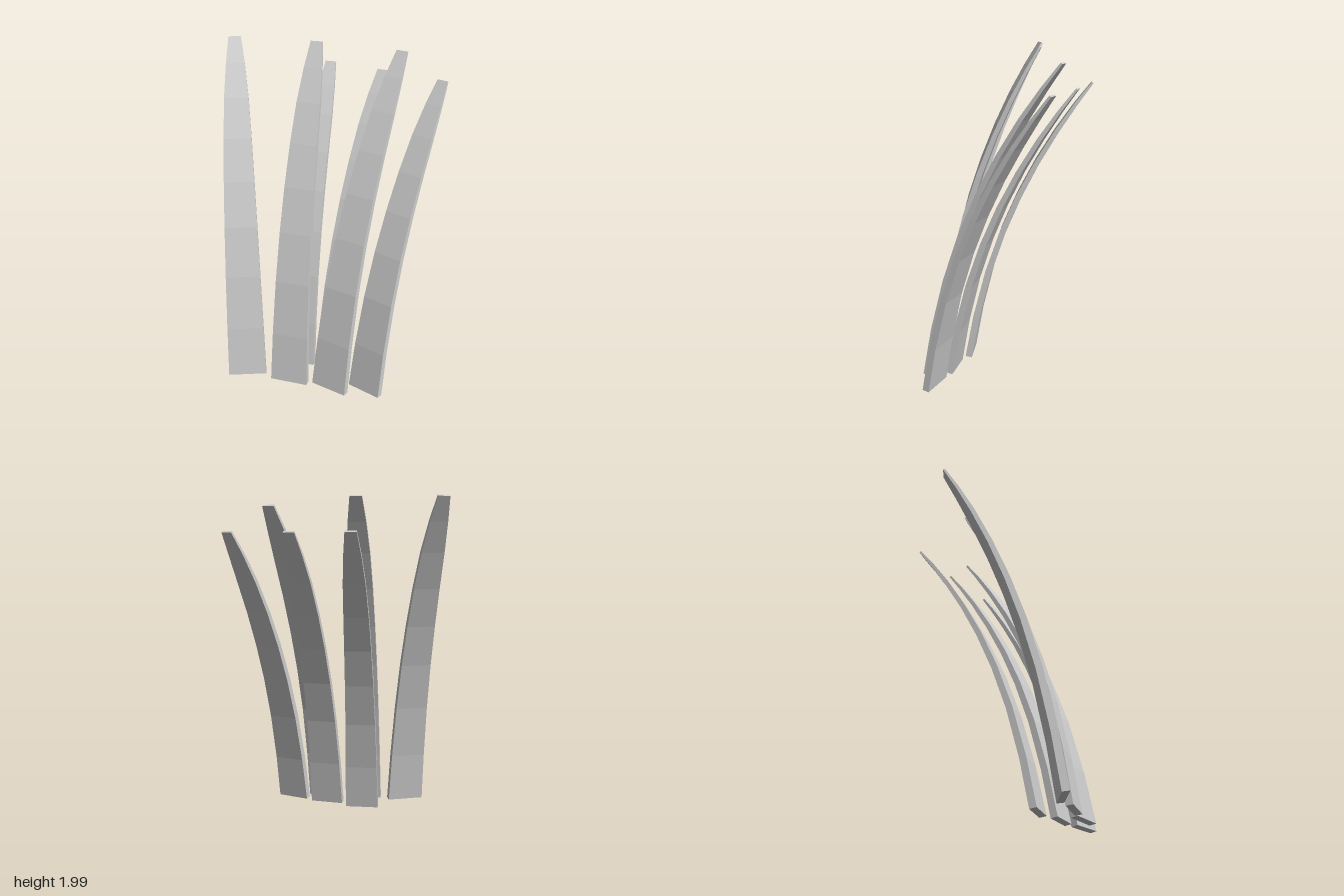
import * as THREE from 'three';

// Blade cross-sections: [fraction of height, share of base width, thickness]
const SECTIONS = [
  [0, 1, 0.042], [0.16, 0.95, 0.041], [0.33, 0.89, 0.039], [0.48, 0.83, 0.037],
  [0.61, 0.77, 0.034], [0.73, 0.7, 0.03], [0.84, 0.61, 0.026],
  [0.93, 0.47, 0.02], [1, 0.31, 0.013],
];

// Backward bend: nearly upright at the base, steeper towards the tip
const LEAN = 0.4, POWER = 2.4;
const bend = (t) => LEAN * t + (1 - LEAN) * t ** POWER;
const bendSlope = (t) => LEAN + (1 - LEAN) * POWER * t ** (POWER - 1);

// A curved, tapering plank that rises and bends back towards -z
function bladeGeometry(width, height, reach) {
  const pos = [];
  const rings = SECTIONS.map(([t, w, th]) => {
    const z = -reach * bend(t), slope = -reach * bendSlope(t);
    const len = Math.hypot(height, slope);
    // half-thickness offset, perpendicular to the centre line
    const ny = (-slope / len) * th / 2, nz = (height / len) * th / 2;
    const y = t * height, x = (w * width) / 2;
    return [
      [-x, y + ny, z + nz], [x, y + ny, z + nz],
      [x, y - ny, z - nz], [-x, y - ny, z - nz],
    ];
  });
  const quad = (a, b, c, d) => pos.push(...a, ...b, ...c, ...a, ...c, ...d);
  for (let i = 0; i < rings.length - 1; i++) {
    const lo = rings[i], hi = rings[i + 1];
    for (let k = 0; k < 4; k++) {
      const n = (k + 1) % 4;
      quad(lo[k], lo[n], hi[n], hi[k]);
    }
  }
  // end caps
  const b = rings[0], e = rings[rings.length - 1];
  quad(b[3], b[2], b[1], b[0]);
  quad(e[0], e[1], e[2], e[3]);
  const geo = new THREE.BufferGeometry();
  geo.setAttribute('position', new THREE.Float32BufferAttribute(pos, 3));
  geo.computeVertexNormals();
  return geo;
}

// Base centre x, z, turn in degrees (positive fans to -x), and blade size
const BLADES = [
  { name: 'frontBladeRight', x: -0.405, z: 0.445, turn: 18.5, w: 0.235, h: 1.985, reach: 0.65 },
  { name: 'frontBladeMiddle', x: -0.126, z: 0.446, turn: -1.2, w: 0.232, h: 1.985, reach: 0.638 },
  { name: 'frontBladeLeft', x: 0.135, z: 0.45, turn: -16.4, w: 0.23, h: 1.925, reach: 0.815 },
  { name: 'rearBladeRight', x: -0.126, z: 0.25, turn: -1.2, w: 0.212, h: 1.778, reach: 0.753 },
  { name: 'rearBladeMiddle', x: 0.112, z: 0.326, turn: -9.7, w: 0.212, h: 1.778, reach: 0.75 },
  { name: 'rearBladeLeft', x: 0.35, z: 0.412, turn: -21, w: 0.212, h: 1.782, reach: 0.745 },
];

export function createModel() {
  const group = new THREE.Group();
  group.name = 'bladeFan';
  const material = new THREE.MeshStandardMaterial({ color: 0xcccccc, flatShading: true });
  for (const p of BLADES) {
    const mesh = new THREE.Mesh(bladeGeometry(p.w, p.h, p.reach), material);
    mesh.name = p.name;
    mesh.position.set(p.x, 0.008, p.z);
    mesh.rotation.y = THREE.MathUtils.degToRad(p.turn);
    group.add(mesh);
  }
  return group;
}
